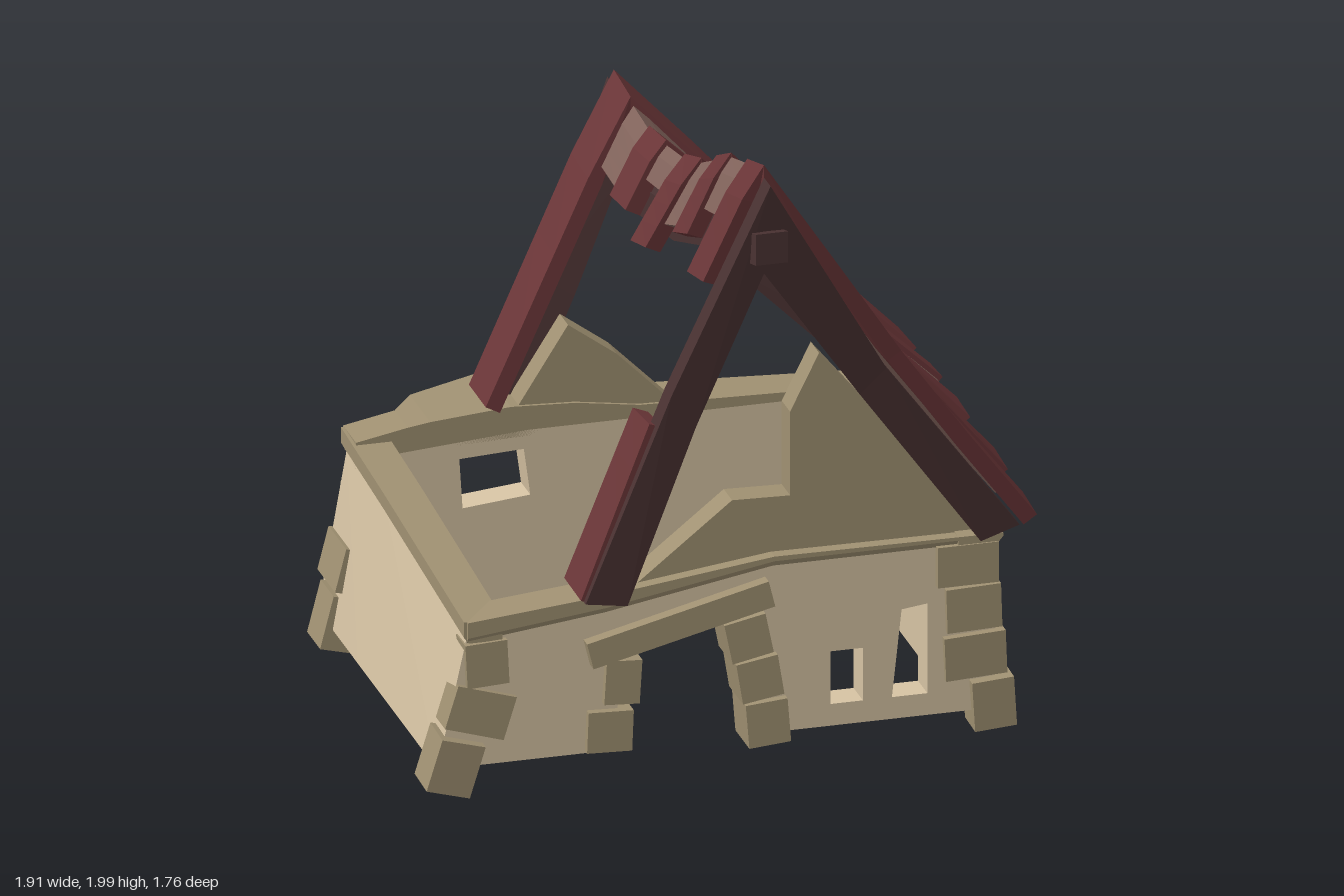
import * as THREE from 'three';

const mat = (color) => new THREE.MeshStandardMaterial({ color, flatShading: true, roughness: 0.9 });
const PLASTER = mat(0xd6c3a3), STONE = mat(0xa09172), BEAM = mat(0x4a3232);
const RED = mat(0x6b3638), FADED = mat(0x82645c);

// Closed solid through equal-sized cross-sections, wound outward.
function loft(sections) {
  const tris = [], n = sections[0].length;
  for (let i = 0; i + 1 < sections.length; i++) {
    for (let j = 0; j < n; j++) {
      const k = (j + 1) % n, a = sections[i], b = sections[i + 1];
      tris.push([a[j], a[k], b[k]], [a[j], b[k], b[j]]);
    }
  }
  const first = sections[0], last = sections[sections.length - 1];
  for (let j = 1; j + 1 < n; j++) {
    tris.push([first[0], first[j + 1], first[j]], [last[0], last[j], last[j + 1]]);
  }
  const V = (p) => new THREE.Vector3(...p);
  const volume = tris.reduce((s, [a, b, c]) => s + V(a).dot(V(b).cross(V(c))), 0);
  if (volume < 0) tris.forEach((t) => t.reverse());
  const g = new THREE.BufferGeometry();
  g.setAttribute('position', new THREE.Float32BufferAttribute(tris.flat(2), 3));
  g.computeVertexNormals();
  return g;
}

// Piecewise-linear lookup in [key, value] knots sorted by key.
function lerpKnots(knots, k) {
  for (let i = 0; i + 1 < knots.length; i++) {
    const [a, va] = knots[i], [b, vb] = knots[i + 1];
    if (k <= b || i + 2 === knots.length) return va + (vb - va) * (k - a) / (b - a);
  }
}

// Upright slab cut from an outline in x and y.
function slab(outline, holes, z0, z1) {
  const path = (pts) => pts.map(([x, y]) => new THREE.Vector2(x, y));
  const shape = new THREE.Shape(path(outline));
  holes.forEach((h) => shape.holes.push(new THREE.Path(path(h))));
  return new THREE.ExtrudeGeometry(shape, { depth: z1 - z0, bevelEnabled: false }).translate(0, 0, z0);
}

// Sagging ridge height along z, and the eave that bows up in the middle
const ridgeY = (z) => lerpKnots([[-0.8, 1.63], [-0.45, 1.6], [-0.1, 1.65], [0.1, 1.71], [0.45, 1.87], [0.8, 1.97]], z);
const eaveY = (z) => 0.755 - 0.07 * Math.abs(z + 0.2);

// Roof board: z edges at ridge, middle and eave; t runs from ridge (0) to eave (1)
function board(side, t0, t1, edges, lift) {
  const width = side > 0 ? 0.86 : 0.5, sections = [];
  for (let i = 0; i <= 4; i++) {
    const t = t0 + (t1 - t0) * i / 4;
    const corner = (e, depth) => {
      const z = lerpKnots([[0, edges[0][e]], [0.5, edges[1][e]], [1, edges[2][e]]], t);
      const r = ridgeY(edges[0][e]), eave = side > 0 ? eaveY(edges[2][e]) : 0.66;
      const sag = side > 0 ? 0.03 + 0.02 * z : 0;
      const y = r + (eave - r) * t - sag * Math.sin(Math.PI * Math.min(t, 1));
      const d = lift - depth;
      if (t === 0) return [0.05, y + d, z]; // mitred along the ridge
      const len = Math.hypot(r - eave, width);
      return [0.05 + side * (width * t + d * (r - eave) / len), y + d * width / len, z];
    };
    sections.push([corner(0, 0), corner(1, 0), corner(1, 0.05), corner(0, 0.05)]);
  }
  return loft(sections);
}

export function createModel() {
  const house = new THREE.Group();
  const add = (name, geometry, material) => {
    const m = new THREE.Mesh(geometry, material);
    m.name = name;
    house.add(m);
    return m;
  };
  const block = (name, [x, y, z], [w, h, d], rz = 0, rx = 0) => {
    const m = add(name, new THREE.BoxGeometry(w, h, d), STONE);
    m.position.set(x, y, z);
    m.rotation.set(rx, 0, rz);
  };
  const rect = (x0, y0, x1, y1) => [[x0, y0], [x1, y0], [x1, y1], [x0, y1]];

  // Front wall with doorway and two windows
  add('frontWall', slab(
    [[-0.9, 0.1], [-0.38, 0.1], [-0.33, 0.46], [0.02, 0.53], [0.06, 0.1], [0.8, 0.1], [0.8, 0.65], [0.12, 0.65], [-0.4, 0.56], [-0.83, 0.51]],
    [rect(0.3, 0.17, 0.4, 0.34), [[0.49, 0.17], [0.6, 0.17], [0.6, 0.46], [0.52, 0.45]]], 0.55, 0.65), PLASTER);
  // Back wall with one window
  add('backWall', slab(
    [[-0.9, 0.1], [0.8, 0.1], [0.8, 0.65], [-0.3, 0.65], [-0.83, 0.61]],
    [[[-0.5, 0.42], [-0.29, 0.44], [-0.31, 0.59], [-0.51, 0.58]]], -0.63, -0.53), PLASTER);
  // Side walls
  add('rightSideWall', loft([[0.65, 0.65], [0.15, 0.71], [-0.2, 0.73], [-0.63, 0.65]].map(([z, y]) =>
    [[0.8, 0.1, z], [0.815, 0.46, z], [0.8, y, z], [0.7, y, z], [0.7, 0.1, z]])), PLASTER);
  add('leftSideWall', loft([[0.65, 0.51], [-0.2, 0.58], [-0.63, 0.61]].map(([z, y]) =>
    [[-0.92, 0.1, z], [-0.83, y, z], [-0.72, y, z], [-0.8, 0.1, z]])), PLASTER);

  // Broken gables
  add('frontGable', slab([[-0.36, 0.57], [0.12, 0.65], [0.8, 0.65], [0.27, 1.3], [0.18, 1.12], [0.18, 0.85], [0, 0.855]],
    [], 0.54, 0.63), STONE);
  add('backGable', slab([[-0.38, 0.64], [0.2, 0.64], [-0.02, 0.86], [-0.17, 0.97]], [], -0.63, -0.54), STONE);

  // Wall caps: [outer x, outer z, inner x, inner z, bottom, top]
  const caps = {
    frontCap: [[-0.83, 0.67, -0.83, 0.54, 0.5, 0.57], [-0.4, 0.67, -0.4, 0.54, 0.55, 0.61], [0.12, 0.67, 0.12, 0.54, 0.64, 0.675], [0.82, 0.67, 0.82, 0.54, 0.64, 0.67]],
    leftCap: [[-0.84, 0.66, -0.72, 0.66, 0.5, 0.57], [-0.84, -0.2, -0.72, -0.2, 0.57, 0.64], [-0.84, -0.66, -0.72, -0.66, 0.6, 0.67]],
    rightCap: [[0.83, 0.67, 0.69, 0.67, 0.64, 0.67], [0.83, 0.15, 0.69, 0.15, 0.7, 0.73], [0.83, -0.2, 0.69, -0.2, 0.72, 0.76], [0.83, -0.65, 0.69, -0.65, 0.64, 0.67]],
    backCap: [[-0.83, -0.67, -0.83, -0.53, 0.6, 0.67], [-0.67, -0.67, -0.67, -0.53, 0.61, 0.7], [-0.6, -0.75, -0.6, -0.53, 0.62, 0.71],
      [-0.35, -0.82, -0.35, -0.53, 0.63, 0.73], [-0.15, -0.8, -0.15, -0.53, 0.63, 0.72], [0.05, -0.7, 0.05, -0.53, 0.64, 0.69], [0.82, -0.65, 0.82, -0.53, 0.64, 0.67]],
  };
  for (const [name, pts] of Object.entries(caps)) {
    add(name, loft(pts.map(([ox, oz, ix, iz, b, t]) => {
      const k = 0.12; // underside slopes in towards the wall
      return [[ox + (ix - ox) * k, b, oz + (iz - oz) * k], [ox, b + 0.02, oz], [ox, t, oz], [ix, t, iz], [ix, b, iz]];
    })), STONE);
  }

  // Corner stones
  block('cornerStone', [-0.77, 0.43, 0.62], [0.13, 0.14, 0.1], 0.05);
  block('cornerStone', [-0.79, 0.275, 0.62], [0.19, 0.14, 0.1], -0.3);
  block('cornerStone', [-0.87, 0.11, 0.615], [0.14, 0.17, 0.13], -0.28, 0.05);
  block('cornerStone', [0.72, 0.58, 0.57], [0.19, 0.13, 0.21]);
  block('cornerStone', [0.74, 0.435, 0.6], [0.17, 0.14, 0.14], 0.03);
  block('cornerStone', [0.745, 0.285, 0.575], [0.19, 0.14, 0.19], 0.05, 0.04);
  block('cornerStone', [0.8, 0.125, 0.625], [0.13, 0.16, 0.11], 0.07, 0.04);
  block('cornerStone', [0.745, 0.515, -0.54], [0.16, 0.11, 0.18]);
  block('cornerStone', [0.75, 0.41, -0.57], [0.15, 0.1, 0.14], 0, -0.08);
  block('cornerStone', [0.745, 0.29, -0.53], [0.18, 0.13, 0.2], 0.03, -0.08);
  block('cornerStone', [0.8, 0.11, -0.53], [0.13, 0.18, 0.13], 0.06, -0.2);
  block('cornerStone', [-0.79, 0.43, -0.57], [0.13, 0.14, 0.13], -0.1);
  block('cornerStone', [-0.83, 0.28, -0.54], [0.15, 0.14, 0.19], -0.25);
  block('cornerStone', [-0.88, 0.11, -0.54], [0.12, 0.17, 0.14], -0.25);

  // Door jambs, lintel and the ledge behind
  [[-0.35, 0.325, 0.11, 0.14, -0.06], [-0.39, 0.17, 0.14, 0.13, -0.04],
    [0.04, 0.42, 0.13, 0.13, 0.2], [0.075, 0.285, 0.13, 0.13, 0.16], [0.1, 0.14, 0.13, 0.14, 0.08]]
    .forEach(([x, y, w, h, r]) => block('doorJambStone', [x, y, 0.6], [w, h, 0.15], r));
  block('doorLintel', [-0.175, 0.495, 0.555], [0.58, 0.085, 0.27], 0.24);
  add('ledgeStone', loft([[-0.6, 0.36, 0.62, 0.44], [-0.72, 0.36, 0.62, 0.45], [-0.8, 0.4, 0.58, 0.46]].map(([z, x0, x1, y]) =>
    [[x0, y, z], [x1, y, z], [x1, 0.55, z], [x0, 0.55, z]])), STONE);

  // A-frame rafters: [outer x, outer y, inner x, inner y, z near, z far, z lean of the inner edge]
  const rafters = {
    frontLeftRafter: [[0.05, 1.96, 0.05, 1.65, 0.8, 0.87, -0.07], [-0.22, 1.26, -0.14, 1.15, 0.67, 0.74, -0.01], [-0.48, 0.61, -0.35, 0.59, 0.65, 0.72, 0]],
    frontRightRafter: [[0.05, 1.96, 0.05, 1.65, 0.8, 0.87, -0.07], [0.45, 1.27, 0.37, 1.19, 0.66, 0.73, -0.01], [0.88, 0.69, 0.76, 0.65, 0.6, 0.67, 0]],
    backLeftRafter: [[0.05, 1.61, 0.05, 1.33, -0.81, -0.88, 0.06], [-0.2, 1.06, -0.11, 1, -0.69, -0.76, 0.01], [-0.42, 0.65, -0.3, 0.63, -0.61, -0.68, 0]],
    backRightRafter: [[0.05, 1.61, 0.05, 1.33, -0.81, -0.88, 0.06], [0.46, 1.1, 0.38, 1.03, -0.7, -0.77, 0.01], [0.88, 0.7, 0.76, 0.66, -0.65, -0.72, 0]],
  };
  for (const [name, pts] of Object.entries(rafters)) {
    add(name, loft(pts.map(([ox, oy, ix, iy, z0, z1, lean]) =>
      [[ox, oy, z0], [ox, oy, z1], [ix, iy, z1 + lean], [ix, iy, z0 + lean]])), BEAM);
  }
  // Sagging ridge beam
  add('ridgeBeam', loft([[0.885, 1.765], [0.4, 1.63], [0, 1.49], [-0.4, 1.42], [-0.875, 1.42]].map(([z, y]) =>
    rect(0, y - 0.05, 0.1, y + 0.05).map(([x, v]) => [x, v, z]))), BEAM);

  // Roof rows: z edges at ridge, middle and eave, then [side, start, end] of each surviving piece
  const rows = [
    [[[0.62, 0.8], [0.5, 0.67], [0.46, 0.61]], [[1, 0, 1.02], [-1, 0, 0.28]]],
    [[[0.45, 0.62], [0.36, 0.53], [0.32, 0.46]], [[1, 0, 0.98], [-1, 0, 0.13]]],
    [[[0.29, 0.45], [0.21, 0.37], [0.18, 0.33]], [[1, 0, 0.18], [1, 0.57, 1.01], [-1, 0, 0.2]]],
    [[[0.12, 0.29], [0.03, 0.21], [0.03, 0.19]], [[1, 0, 0.97], [-1, 0, 0.18]]],
    [[[-0.05, 0.13], [-0.13, 0.02], [-0.09, 0.05]], [[1, 0, 0.97], [-1, 0, 0.26]]],
    [[[-0.24, -0.06], [-0.27, -0.12], [-0.23, -0.09]], [[1, 0, 0.96], [-1, 0, 0.1]]],
    [[[-0.43, -0.25], [-0.4, -0.24], [-0.38, -0.24]], [[1, 0, 0.36], [1, 0.76, 0.97], [-1, 0, 0.2]]],
    [[[-0.6, -0.43], [-0.56, -0.4], [-0.54, -0.39]], [[1, 0, 0.17], [1, 0.58, 0.95], [-1, 0, 0.18]]],
    [[[-0.81, -0.63], [-0.73, -0.57], [-0.72, -0.52]], [[1, 0, 0.97]]],
  ];
  rows.forEach(([edges, pieces], i) => {
    const red = i % 2 === 0;
    pieces.forEach(([side, t0, t1]) =>
      add(red ? 'redRoofBoard' : 'fadedRoofBoard', board(side, t0, t1, edges, red ? 0.03 : 0.015), red ? RED : FADED));
  });
  // Full board on the back of the open slope, and a loose one low at the front
  add('backOpenSlopeBoard', board(-1, 0, 0.92, [[-0.81, -0.63], [-0.74, -0.56], [-0.67, -0.49]], 0.03), RED);
  add('looseRoofBoard', board(-1, 0.62, 1.04, [[0.62, 0.8], [0.53, 0.71], [0.52, 0.7]], 0.02), RED);

  return house;
}
